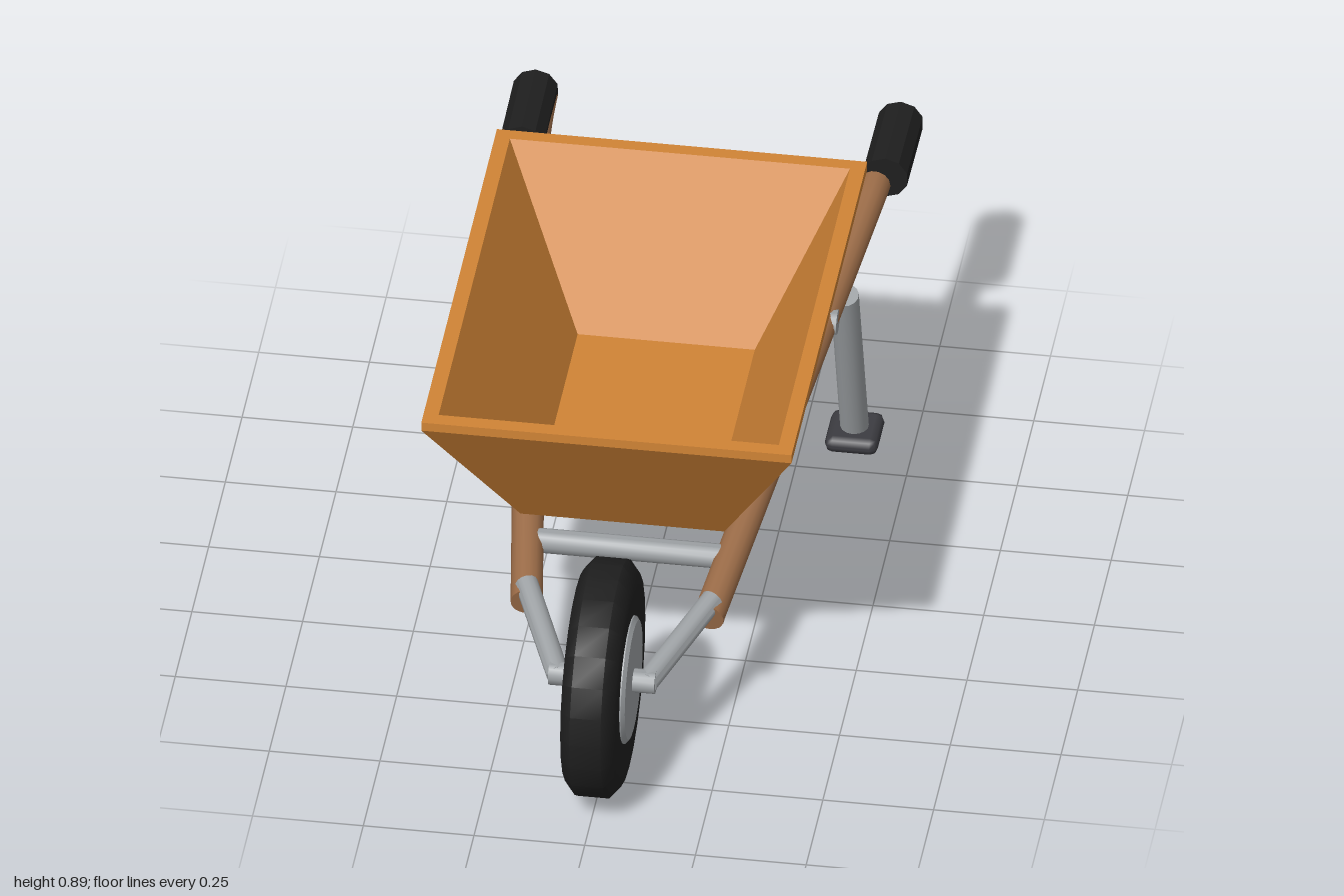
import * as THREE from 'three';
import { toCreasedNormals } from 'three/addons/utils/BufferGeometryUtils.js';
import { RoundedBoxGeometry } from 'three/addons/geometries/RoundedBoxGeometry.js';

const material = (name, color) => {
  const m = new THREE.MeshStandardMaterial({ color });
  m.name = name;
  return m;
};
const V = (x, y, z) => new THREE.Vector3(x, y, z);

// Straight round bar between two points
function bar(name, a, b, radius, mat, sides = 14) {
  const dir = b.clone().sub(a);
  const geo = toCreasedNormals(new THREE.CylinderGeometry(radius, radius, dir.length(), sides), 0.6);
  const mesh = new THREE.Mesh(geo, mat);
  mesh.name = name;
  mesh.position.copy(a).add(b).multiplyScalar(0.5);
  mesh.quaternion.setFromUnitVectors(V(0, 1, 0), dir.normalize());
  return mesh;
}

// Solid of revolution about the x axis; profile is [radius, x]
function turned(name, profile, mat, crease) {
  const points = profile.map(([r, x]) => new THREE.Vector2(r, x));
  const geo = toCreasedNormals(new THREE.LatheGeometry(points, 24), crease);
  geo.rotateZ(-Math.PI / 2);
  const mesh = new THREE.Mesh(geo, mat);
  mesh.name = name;
  return mesh;
}

// Skin over rectangular rings [halfX, y, zBack, zFront], closed at both ends
function rectangularShell(rings) {
  const corners = rings.map(([x, y, back, front]) =>
    [V(x, y, back), V(-x, y, back), V(-x, y, front), V(x, y, front)]);
  const points = [];
  const quad = (a, b, c, d) => points.push(a, b, c, a, c, d);
  const first = corners[0], last = corners[corners.length - 1];
  quad(first[0], first[3], first[2], first[1]);
  for (let i = 0; i < corners.length - 1; i++) {
    const low = corners[i], high = corners[i + 1];
    for (let k = 0; k < 4; k++) {
      const n = (k + 1) % 4;
      quad(low[k], low[n], high[n], high[k]);
    }
  }
  quad(last[0], last[1], last[2], last[3]);
  const geo = new THREE.BufferGeometry().setFromPoints(points);
  geo.computeVertexNormals();
  return geo;
}

export function createModel() {
  const group = new THREE.Group();
  group.name = 'wheelbarrow';

  const orange = material('orange tray', 0xd08436);
  const wood = material('brown wood', 0x9a6b47);
  const metal = material('grey metal', 0x9da1a4);
  const rubber = material('black rubber', 0x1f1f1f);
  const footDark = material('dark foot', 0x3c3c41);

  // Tray: recessed underside, flared walls, rim, inside walls, floor
  const tray = new THREE.Mesh(rectangularShell([
    [0.2, 0.5, -0.22, 0.4],
    [0.2, 0.487, -0.22, 0.4],
    [0.23, 0.487, -0.245, 0.437],
    [0.418, 0.865, -0.457, 0.675],
    [0.418, 0.887, -0.457, 0.675],
    [0.384, 0.887, -0.425, 0.64],
    [0.2, 0.515, -0.22, 0.4],
  ]), orange);
  tray.name = 'tray';
  group.add(tray);

  // Wheel with tyre, hub and axle
  const wheel = new THREE.Group();
  wheel.name = 'wheel';
  wheel.position.set(0, 0.27, 0.73);
  wheel.add(turned('tyre', [
    [0.13, -0.058], [0.2, -0.062], [0.24, -0.06], [0.27, -0.035],
    [0.27, 0.035], [0.24, 0.06], [0.2, 0.062], [0.13, 0.058],
  ], rubber, 0.9));
  wheel.add(turned('hub', [
    [0, -0.07], [0.135, -0.07], [0.145, -0.062],
    [0.145, 0.062], [0.135, 0.07], [0, 0.07],
  ], metal, 0.5));
  wheel.add(bar('axle', V(-0.12, 0, 0), V(0.12, 0, 0), 0.027, metal));
  group.add(wheel);

  // Cross bars joining the handles
  group.add(bar('rearCrossBar', V(-0.365, 0.502, -0.37), V(0.365, 0.502, -0.37), 0.028, metal));
  group.add(bar('frontCrossBar', V(-0.23, 0.34, 0.33), V(0.23, 0.34, 0.33), 0.028, metal));

  for (const s of [1, -1]) {
    const side = s > 0 ? 'left' : 'right';

    // Wooden shaft, levelling out inside the grip
    const path = new THREE.CurvePath();
    const bend = V(s * 0.38, 0.582, -0.73);
    path.add(new THREE.LineCurve3(V(s * 0.205, 0.3, 0.51), bend));
    path.add(new THREE.QuadraticBezierCurve3(bend, V(s * 0.394, 0.603, -0.83), V(s * 0.397, 0.603, -0.99)));
    const shaft = new THREE.Mesh(new THREE.TubeGeometry(path, 40, 0.036, 14), wood);
    shaft.name = side + 'Handle';
    group.add(shaft);
    group.add(bar(side + 'HandleEnd', V(s * 0.205, 0.3, 0.512), V(s * 0.2064, 0.3023, 0.5), 0.036, wood));

    // Grip
    group.add(bar(side + 'Grip', V(s * 0.41, 0.612, -0.78), V(s * 0.412, 0.612, -1), 0.052, rubber, 10));

    // Fork arm to the axle
    group.add(bar(side + 'ForkArm', V(s * 0.21, 0.328, 0.48), V(s * 0.1, 0.27, 0.735), 0.026, metal));

    // Leg and foot
    group.add(bar(side + 'Leg', V(s * 0.365, 0.505, -0.47), V(s * 0.365, 0.03, -0.622), 0.032, metal));
    const foot = new THREE.Mesh(new RoundedBoxGeometry(0.12, 0.04, 0.13, 1, 0.018), footDark);
    foot.name = side + 'Foot';
    foot.position.set(s * 0.365, 0.02, -0.62);
    group.add(foot);
  }
  return group;
}
